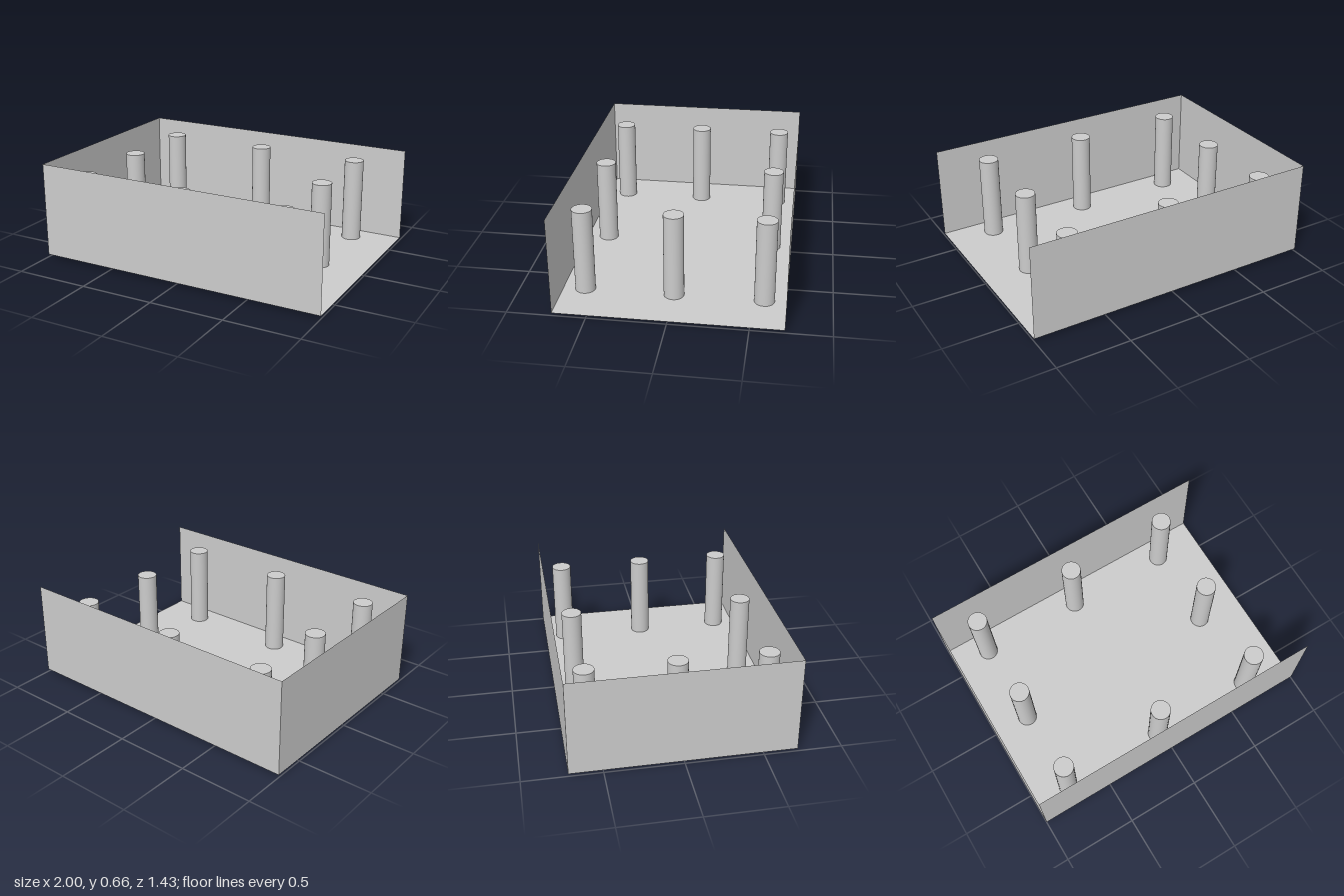
import * as THREE from 'three';

const HALF_X = 1, HALF_Z = 0.714;       // tray footprint
const FLOOR_Y = 0.018, WALL_TOP = 0.656;
const POST_RADIUS = 0.065, POST_HEIGHT = 0.585;

export function createModel() {
  const model = new THREE.Group();
  model.name = 'openTrayWithPosts';

  const sheet = new THREE.MeshStandardMaterial({ color: 0xcccccc, side: THREE.DoubleSide });
  const solid = new THREE.MeshStandardMaterial({ color: 0xcccccc });

  function addSheet(name, width, height, position, rotation) {
    const mesh = new THREE.Mesh(new THREE.PlaneGeometry(width, height), sheet);
    mesh.name = name;
    mesh.position.set(...position);
    mesh.rotation.set(...rotation);
    model.add(mesh);
  }

  // Paper-thin floor and three walls; the +x end stays open
  const wallHeight = WALL_TOP - FLOOR_Y;
  const wallY = (WALL_TOP + FLOOR_Y) / 2;
  addSheet('floor', 2 * HALF_X, 2 * HALF_Z, [0, FLOOR_Y, 0], [-Math.PI / 2, 0, 0]);
  addSheet('frontWall', 2 * HALF_X, wallHeight, [0, wallY, HALF_Z], [0, 0, 0]);
  addSheet('backWall', 2 * HALF_X, wallHeight, [0, wallY, -HALF_Z], [0, Math.PI, 0]);
  addSheet('endWall', 2 * HALF_Z, wallHeight, [-HALF_X, wallY, 0], [0, -Math.PI / 2, 0]);

  // Eight round posts around the edge, poking slightly through the floor
  const posts = new THREE.Group();
  posts.name = 'posts';
  const postGeometry = new THREE.CylinderGeometry(POST_RADIUS, POST_RADIUS, POST_HEIGHT, 32);
  for (const x of [-0.75, -0.033, 0.685]) {
    for (const z of [-0.572, 0, 0.572]) {
      if (x === -0.033 && z === 0) continue; // no post in the middle
      const post = new THREE.Mesh(postGeometry, solid);
      post.name = 'post';
      post.position.set(x, POST_HEIGHT / 2, z);
      posts.add(post);
    }
  }
  model.add(posts);

  return model;
}
